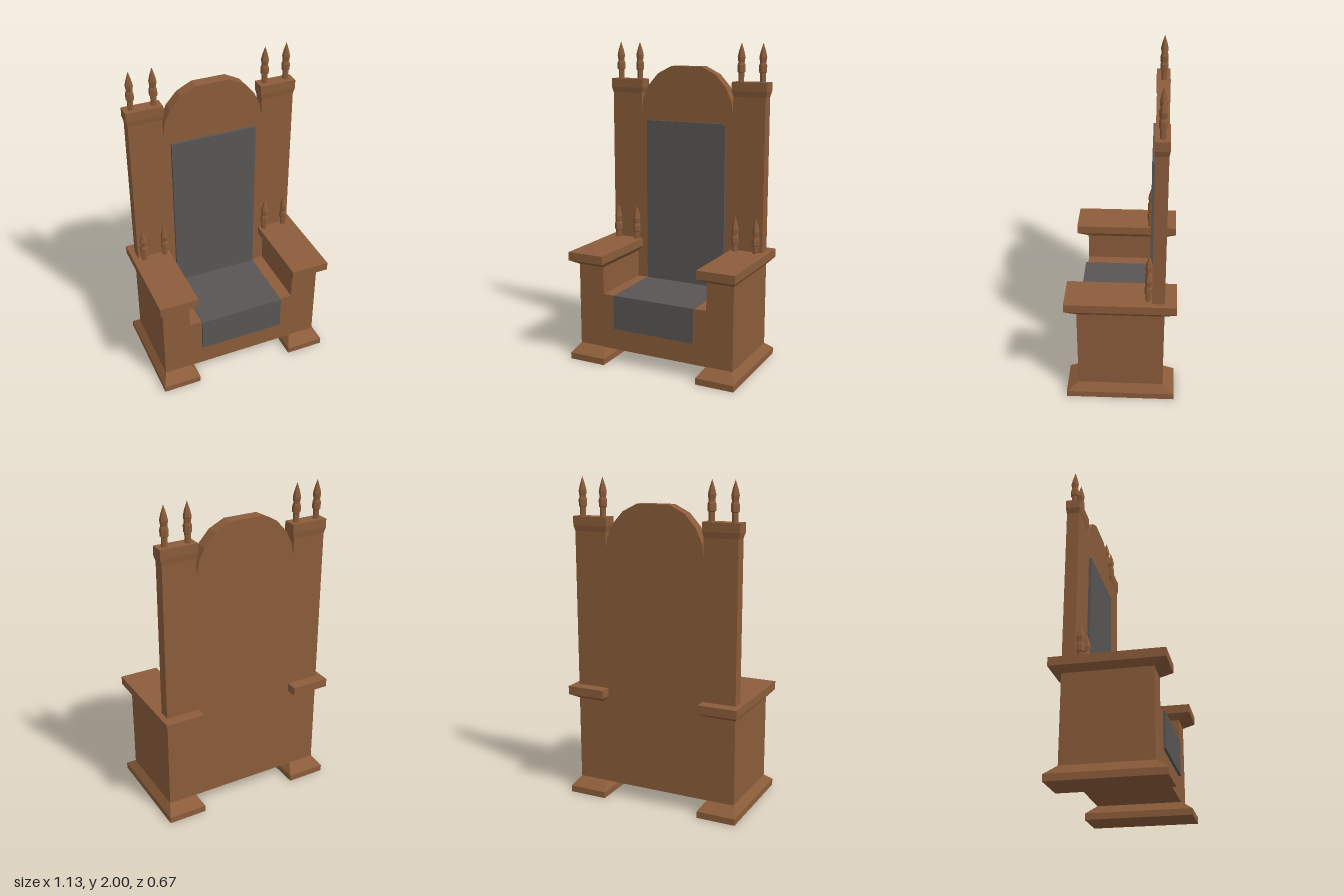
import * as THREE from 'three';

const wood = new THREE.MeshStandardMaterial({ color: 0x8b5c3a, flatShading: true });
const padding = new THREE.MeshStandardMaterial({ color: 0x595555, flatShading: true });

function add(parent, name, geometry, material, x = 0, y = 0, z = 0) {
  const mesh = new THREE.Mesh(geometry, material);
  mesh.name = name;
  mesh.position.set(x, y, z);
  parent.add(mesh);
  return mesh;
}

// Box standing on y = 0 whose bottom and top have different sizes
function taperedBox(w0, d0, w1, d1, h) {
  const g = new THREE.BoxGeometry(1, h, 1).translate(0, h / 2, 0);
  const p = g.attributes.position;
  for (let i = 0; i < p.count; i++) {
    const top = p.getY(i) > h / 2;
    p.setX(i, p.getX(i) * (top ? w1 : w0));
    p.setZ(i, p.getZ(i) * (top ? d1 : d0));
  }
  g.computeVertexNormals();
  return g;
}

// Extrude a symmetric outline, given as its +x half from bottom to top
function mirroredExtrude(half, z0, z1) {
  const left = half.map(([x, y]) => new THREE.Vector2(x, y));
  const right = half.map(([x, y]) => new THREE.Vector2(-x, y)).reverse();
  const shape = new THREE.Shape([...left, ...right]);
  return new THREE.ExtrudeGeometry(shape, { depth: z1 - z0, bevelEnabled: false }).translate(0, 0, z0);
}

// Six-sided pointed finial
const finialProfile = [
  [0, 0], [0.018, 0], [0.018, 0.055], [0.025, 0.06], [0.025, 0.1],
  [0.019, 0.115], [0.024, 0.15], [0.016, 0.185], [0, 0.235],
].map(([r, y]) => new THREE.Vector2(r, y));
const finialGeometry = new THREE.LatheGeometry(finialProfile, 6);

export function createModel() {
  const throne = new THREE.Group();
  throne.name = 'throne';

  // Seat block with raised sides under the arms
  add(throne, 'seatBody', mirroredExtrude([
    [0.53, 0.09], [0.53, 0.62], [0.355, 0.62], [0.355, 0.445],
  ], -0.187, 0.262), wood);

  // Tall back board with corner posts and a faceted arch
  add(throne, 'backBoard', mirroredExtrude([
    [0.53, 0.09], [0.53, 1.7], [0.32, 1.7], [0.318, 1.57], [0.308, 1.645],
    [0.268, 1.73], [0.2, 1.805], [0.105, 1.852],
  ], -0.263, -0.187), wood);

  // Padding
  add(throne, 'seatCushion', new THREE.BoxGeometry(0.55, 0.22, 0.462), padding, 0, 0.34, 0.046);
  add(throne, 'backCushion', new THREE.BoxGeometry(0.55, 1.055, 0.018), padding, 0, 0.9775, -0.179);

  for (const s of [1, -1]) {
    const side = new THREE.Group();
    side.name = s > 0 ? 'leftSide' : 'rightSide';
    throne.add(side);
    const x = s * 0.4425;

    // Flared foot
    add(side, 'footBase', new THREE.BoxGeometry(0.245, 0.04, 0.67), wood, x, 0.02, 0);
    add(side, 'footFlare', taperedBox(0.245, 0.67, 0.175, 0.524, 0.052), wood, x, 0.04, 0);

    // Armrest
    add(side, 'armFlare', taperedBox(0.175, 0.524, 0.245, 0.67, 0.037), wood, x, 0.62, 0);
    add(side, 'armTop', new THREE.BoxGeometry(0.245, 0.053, 0.67), wood, x, 0.6835, 0);

    // Post cap
    add(side, 'capFlare', taperedBox(0.21, 0.076, 0.23, 0.087, 0.035), wood, s * 0.425, 1.675, -0.225);
    add(side, 'capTop', new THREE.BoxGeometry(0.23, 0.055, 0.087), wood, s * 0.425, 1.7375, -0.225);

    // Finials on the cap and on the arm
    for (const fx of [0.353, 0.493]) {
      add(side, 'capFinial', finialGeometry, wood, s * fx, 1.765, -0.228);
      add(side, 'armFinial', finialGeometry, wood, s * fx, 0.7, -0.166);
    }
  }
  return throne;
}
